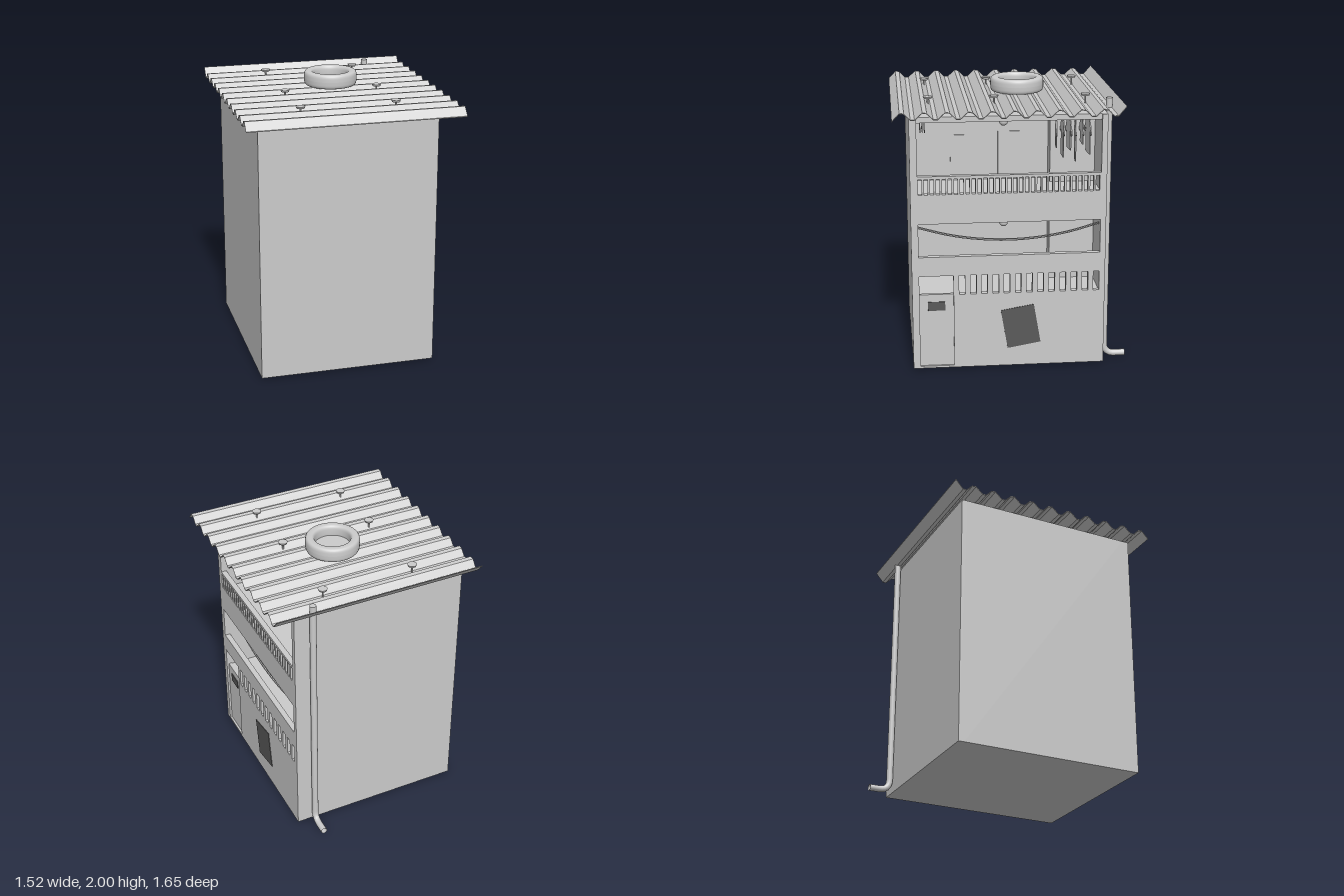
import * as THREE from 'three';

const grey = new THREE.MeshStandardMaterial({ color: 0xcccccc });
const dark = new THREE.MeshStandardMaterial({ color: 0x5a5a5a });
const twoSided = new THREE.MeshStandardMaterial({ color: 0xcccccc, side: THREE.DoubleSide });

export function createModel() {
  const model = new THREE.Group();

  const add = (name, geometry, material = grey, parent = model) => {
    const mesh = new THREE.Mesh(geometry, material);
    mesh.name = name;
    parent.add(mesh);
    return mesh;
  };
  // box given by its limits on each axis
  const box = (name, x0, x1, y0, y1, z0, z1, material) => {
    const m = add(name, new THREE.BoxGeometry(x1 - x0, y1 - y0, z1 - z0), material);
    m.position.set((x0 + x1) / 2, (y0 + y1) / 2, (z0 + z1) / 2);
    return m;
  };
  // closed rectangle in the side plane, where u = -z
  const rect = (z0, z1, y0, y1, Type = THREE.Path) => new Type([
    [-z1, y0], [-z0, y0], [-z0, y1], [-z1, y1],
  ].map(([u, v]) => new THREE.Vector2(u, v)));
  // extrude a side-plane shape along x
  const sideExtrude = (shape, x0, x1) => {
    const g = new THREE.ExtrudeGeometry(shape, { depth: x1 - x0, bevelEnabled: false });
    g.rotateY(Math.PI / 2);
    return g.translate(x0, 0, 0);
  };
  const tube = (name, points, radius, segments = 24, sides = 8) => add(name,
    new THREE.TubeGeometry(new THREE.CatmullRomCurve3(points.map(p => new THREE.Vector3(...p))),
      segments, radius, sides), twoSided);

  // Shell and floors
  box('frontWall', -0.66, 0.6, 0.01, 1.83, 0.66, 0.71);
  box('backWall', -0.66, 0.6, 0.01, 1.83, -0.65, -0.61);
  box('blindSideWall', -0.66, -0.61, 0.01, 1.83, -0.61, 0.66);
  box('base', -0.61, 0.6, 0.01, 0.025, -0.61, 0.66);
  box('middleFloor', -0.61, 0.56, 0.5, 0.555, -0.61, 0.66);
  box('upperFloor', -0.61, 0.56, 1.1, 1.28, -0.61, 0.66);
  box('ceiling', -0.61, 0.58, 1.79, 1.83, -0.61, 0.66);

  // Slotted balcony panels
  const slottedPanel = (name, zMin, zMax, y0, y1, slots) => {
    const shape = rect(zMin, zMax, y0, y1, THREE.Shape);
    for (let i = 0; i < slots.count; i++) {
      const z = slots.first - i * slots.pitch;
      shape.holes.push(rect(z - slots.width / 2, z + slots.width / 2, slots.y0, slots.y1));
    }
    add(name, sideExtrude(shape, 0.56, 0.6));
  };
  slottedPanel('upperParapet', -0.61, 0.66, 1.08, 1.42,
    { count: 31, first: 0.643, pitch: 0.041, width: 0.026, y0: 1.29, y1: 1.4 });
  slottedPanel('lowerParapet', -0.61, 0.42, 0.01, 0.84,
    { count: 13, first: 0.36, pitch: 0.079, width: 0.042, y0: 0.56, y1: 0.7 });
  box('doorLintel', 0.56, 0.6, 0.7, 0.84, 0.42, 0.66);

  // Door with name plate, and a tilted sheet on the wall
  box('door', 0.56, 0.585, 0.025, 0.56, 0.42, 0.66);
  box('doorPlate', 0.585, 0.59, 0.44, 0.505, 0.48, 0.6, dark);
  const sheet = add('wallSheet', new THREE.BoxGeometry(0.004, 0.29, 0.238), dark);
  sheet.position.set(0.603, 0.307, -0.053);
  sheet.rotation.x = 0.17;

  // Rooms behind the balconies
  [[0.555, 1.1], [1.28, 1.79]].forEach(([y0, y1]) => {
    box('recessWall', 0.13, 0.18, y0, y1, -0.61, 0.66);
    box('closet', 0.18, 0.3, y0, y1, -0.61, -0.29);
  });
  box('balconyWindow', 0.18, 0.187, 1.28, 1.61, 0.26, 0.41);
  box('balconyDoor', 0.18, 0.187, 1.28, 1.63, -0.15, 0.07);

  // Corrugated roof, drawn as a thin wavy strip
  const pitch = 0.1515, ridge = 1.9, valley = 1.853, top = [[-0.745, 1.917]];
  for (let i = 0; i < 10; i++) {
    const z = -0.69 + i * pitch;
    top.push([z, valley], [z + 0.028, valley], [z + 0.07, ridge - 0.004], [z + 0.1, ridge]);
  }
  top.push([0.825, 1.845]);
  const outline = [...top, ...top.map(([z, y]) => [z, y - 0.006]).reverse()];
  const roofShape = new THREE.Shape(outline.map(([z, y]) => new THREE.Vector2(-z, y)));
  add('corrugatedRoof', sideExtrude(roofShape, -0.76, 0.76));

  // Roof bolts
  for (const x of [-0.335, 0.335]) for (const z of [-0.53, 0.11, 0.57]) {
    const bolt = new THREE.Group();
    bolt.name = 'roofBolt';
    bolt.position.set(x, 0, z);
    model.add(bolt);
    add('boltHead', new THREE.CylinderGeometry(0.033, 0.028, 0.014, 20), grey, bolt).position.y = 1.916;
    add('boltStem', new THREE.CylinderGeometry(0.006, 0.006, 0.1, 8), grey, bolt).position.y = 1.86;
  }

  // Tyre weighing the roof down
  const profile = [];
  const soft = v => Math.sign(v) * Math.abs(v) ** 0.6;
  for (let i = 0; i <= 24; i++) {
    const a = (i / 24) * Math.PI * 2;
    profile.push(new THREE.Vector2(0.157 + 0.033 * soft(Math.cos(a)), 1.948 + 0.052 * soft(Math.sin(a))));
  }
  add('tyre', new THREE.LatheGeometry(profile, 48)).position.set(0.045, 0, -0.08);
  add('tyreFilling', new THREE.CylinderGeometry(0.13, 0.13, 0.02, 40)).position.set(0.045, 1.915, -0.08);

  // Drain pipe with elbow at the foot
  const pipe = new THREE.CurvePath();
  const v = (y, z) => new THREE.Vector3(0.475, y, z);
  pipe.add(new THREE.LineCurve3(v(1.92, -0.676), v(0.1, -0.676)));
  pipe.add(new THREE.QuadraticBezierCurve3(v(0.1, -0.676), v(0.023, -0.676), v(0.023, -0.75)));
  pipe.add(new THREE.LineCurve3(v(0.023, -0.75), v(0.023, -0.828)));
  add('drainPipe', new THREE.TubeGeometry(pipe, 90, 0.023, 16), twoSided);
  const cap = add('drainPipeCap', new THREE.CircleGeometry(0.023, 16));
  cap.position.set(0.475, 1.92, -0.676);
  cap.rotation.x = -Math.PI / 2;

  // Clothes line, slack cables
  tube('clothesLine', [[0.42, 1.772, 0.66], [0.42, 1.772, -0.61]], 0.004, 2);
  for (const d of [0, 0.008]) {
    const points = [];
    for (let i = 0; i <= 6; i++) {
      const t = i / 3 - 1;
      points.push([0.54 - d, 0.93 + d + 0.105 * t * t, 0.025 - 0.635 * t]);
    }
    tube('slackCable', points, 0.004);
  }

  // Hanging lamps
  for (const [y, ceilingY] of [[1.75, 1.79], [1.02, 1.1]]) {
    add('lampBulb', new THREE.SphereGeometry(0.03, 20, 14)).position.set(0.4, y, 0.05);
    add('lampSocket', new THREE.CylinderGeometry(0.02, 0.01, 0.03, 14)).position.set(0.4, y + 0.042, 0.05);
    tube('lampCord', [[0.4, y + 0.03, 0.05], [0.4, ceilingY, 0.05]], 0.003, 2);
  }

  // Clothes and empty hangers on the line
  const half = [[0.02, 0], [0.05, -0.01], [0.1, -0.1], [0.075, -0.115], [0.055, -0.08]];
  const garment = length => {
    const right = [...half, [0.06, -length]];
    const all = [...right, ...right.map(([x, y]) => [-x, y]).reverse()];
    return new THREE.ExtrudeGeometry(new THREE.Shape(all.map(p => new THREE.Vector2(...p))),
      { depth: 0.008, bevelEnabled: false });
  };
  [0.2, 0.27, 0.22, 0.3, 0.18, 0.25].forEach((length, i) => {
    const g = add('hangingGarment', garment(length));
    g.position.set(0.42, 1.77, -0.32 - i * 0.045);
    g.rotation.y = (i % 3 - 1) * 0.08;
  });
  for (const z of [0.6, 0.615, 0.63]) {
    const hanger = add('emptyHanger', new THREE.TorusGeometry(0.08, 0.003, 6, 3));
    hanger.rotation.z = Math.PI / 2;
    hanger.scale.x = 0.6;
    hanger.position.set(0.42, 1.725, z);
  }
  return model;
}
